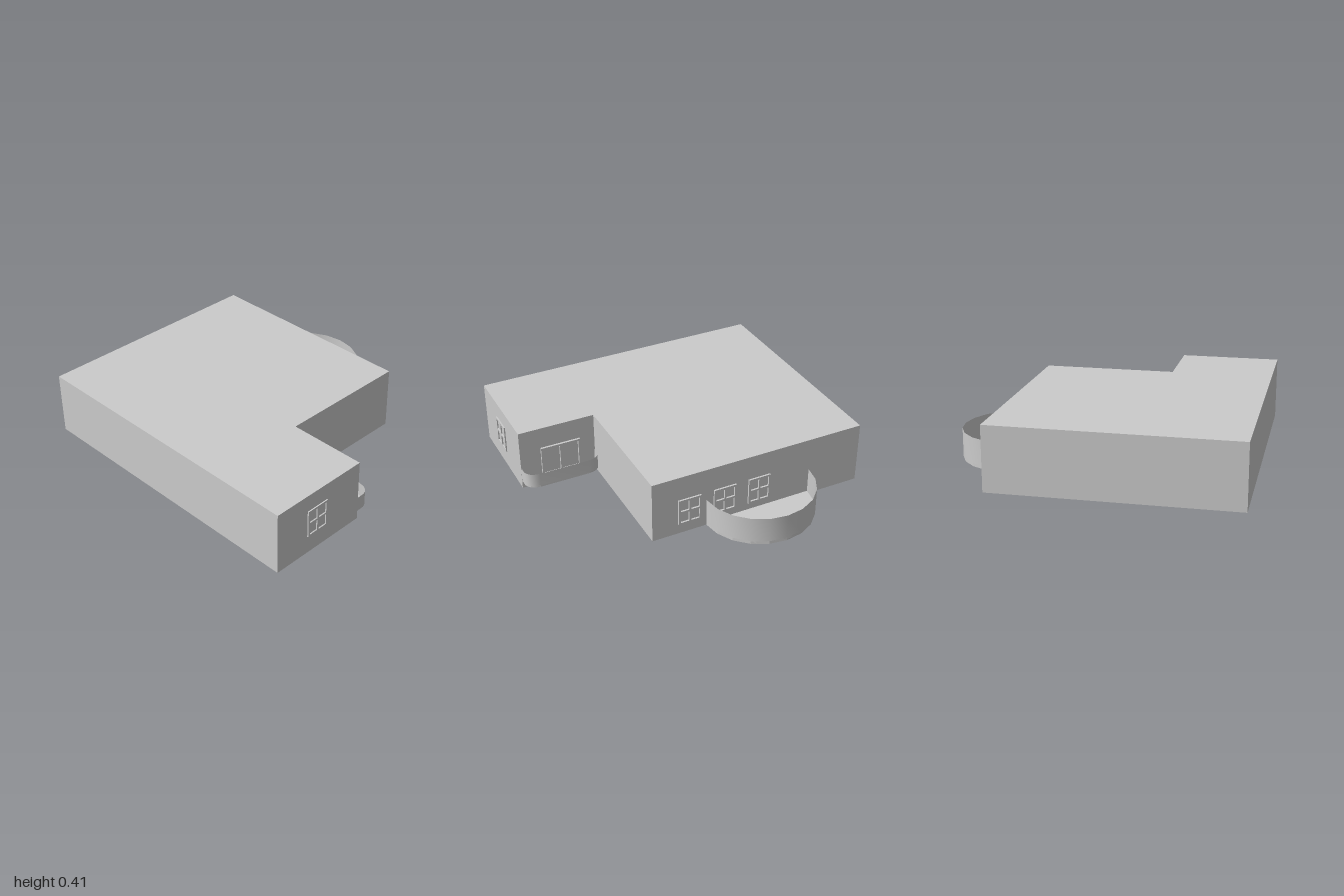
import * as THREE from 'three';

const grey = new THREE.MeshStandardMaterial({ color: 0xcccccc });
const greyThin = new THREE.MeshStandardMaterial({ color: 0xcccccc, side: THREE.DoubleSide });

function add(parent, name, geometry, material = grey) {
  const mesh = new THREE.Mesh(geometry, material);
  mesh.name = name;
  parent.add(mesh);
  return mesh;
}

// Slab from a plan outline of [x, z] points, standing from y0 to y1
function slab(points, y0, y1) {
  const shape = new THREE.Shape(points.map(([x, z]) => new THREE.Vector2(x, z)));
  const geo = new THREE.ExtrudeGeometry(shape, { depth: y1 - y0, bevelEnabled: false });
  return geo.rotateX(Math.PI / 2).translate(0, y1, 0);
}

// Thin smooth wall following a plan outline
function ribbon(points, y0, y1) {
  const pos = [], index = [];
  points.forEach(([x, z], i) => {
    pos.push(x, y0, z, x, y1, z);
    if (i < points.length - 1) {
      const a = 2 * i;
      index.push(a, a + 2, a + 1, a + 1, a + 2, a + 3);
    }
  });
  const geo = new THREE.BufferGeometry();
  geo.setAttribute('position', new THREE.Float32BufferAttribute(pos, 3));
  geo.setIndex(index);
  geo.computeVertexNormals();
  return geo;
}

function balcony(name, outline, y0, y1, floorThickness) {
  const group = new THREE.Group();
  group.name = name;
  add(group, name + 'Floor', slab(outline, y0, y0 + floorThickness));
  add(group, name + 'Wall', ribbon(outline, y0, y1), greyThin);
  return group;
}

// Frame with a grid of open panes, centred in x and y, growing towards +z
function paneFrame(w, h, cols, rows, depth, bar = 0.013) {
  const rect = (path, x, y, rw, rh) => path.moveTo(x, y).lineTo(x + rw, y)
    .lineTo(x + rw, y + rh).lineTo(x, y + rh).closePath();
  const shape = rect(new THREE.Shape(), -w / 2, -h / 2, w, h);
  const pw = (w - bar * (cols + 1)) / cols, ph = (h - bar * (rows + 1)) / rows;
  for (let c = 0; c < cols; c++) for (let r = 0; r < rows; r++) {
    shape.holes.push(rect(new THREE.Path(),
      -w / 2 + bar + c * (pw + bar), -h / 2 + bar + r * (ph + bar), pw, ph));
  }
  return new THREE.ExtrudeGeometry(shape, { depth, bevelEnabled: false });
}

export function createModel() {
  const model = new THREE.Group();
  model.name = 'houseStorey';

  // L-shaped storey
  add(model, 'building', slab([[-1, 0.955], [0.99, 0.955], [0.99, 0.28],
    [0.475, 0.28], [0.475, -0.6], [-1, -0.6]], 0, 0.415));

  // Half-round balcony at the back
  const arc = [];
  for (let i = 0; i <= 10; i++) {
    const a = Math.PI * i / 10;
    arc.push([-0.263 + 0.367 * Math.cos(a), -0.6 - 0.357 * Math.sin(a)]);
  }
  model.add(balcony('roundBalcony', arc, 0, 0.19, 0.02));

  // Small balcony with rounded corners in the notch
  const half = [[0.255, 0.28], [0.254, 0.225], [0.245, 0.203], [0.23, 0.185],
    [0.205, 0.172], [0.17, 0.165]];
  const corner = [...half.map(([x, z]) => [0.734 + x, z]),
    ...half.map(([x, z]) => [0.734 - x, z]).reverse()];
  model.add(balcony('cornerBalcony', corner, 0.055, 0.155, 0.01));

  // Three back windows
  for (const x of [-0.265, -0.022, 0.222]) {
    const win = add(model, 'backWindow', paneFrame(0.155, 0.18, 2, 2, 0.012));
    win.position.set(x, 0.16, -0.6);
    win.rotation.y = Math.PI;
  }

  // Window in the left side wall
  const side = add(model, 'sideWindow', paneFrame(0.16, 0.185, 2, 2, 0.008));
  side.position.set(0.99, 0.212, 0.635);
  side.rotation.y = Math.PI / 2;

  // Double door onto the small balcony
  const door = add(model, 'balconyDoor', paneFrame(0.27, 0.21, 2, 1, 0.015));
  door.position.set(0.715, 0.165, 0.28);
  door.rotation.y = Math.PI;

  return model;
}
